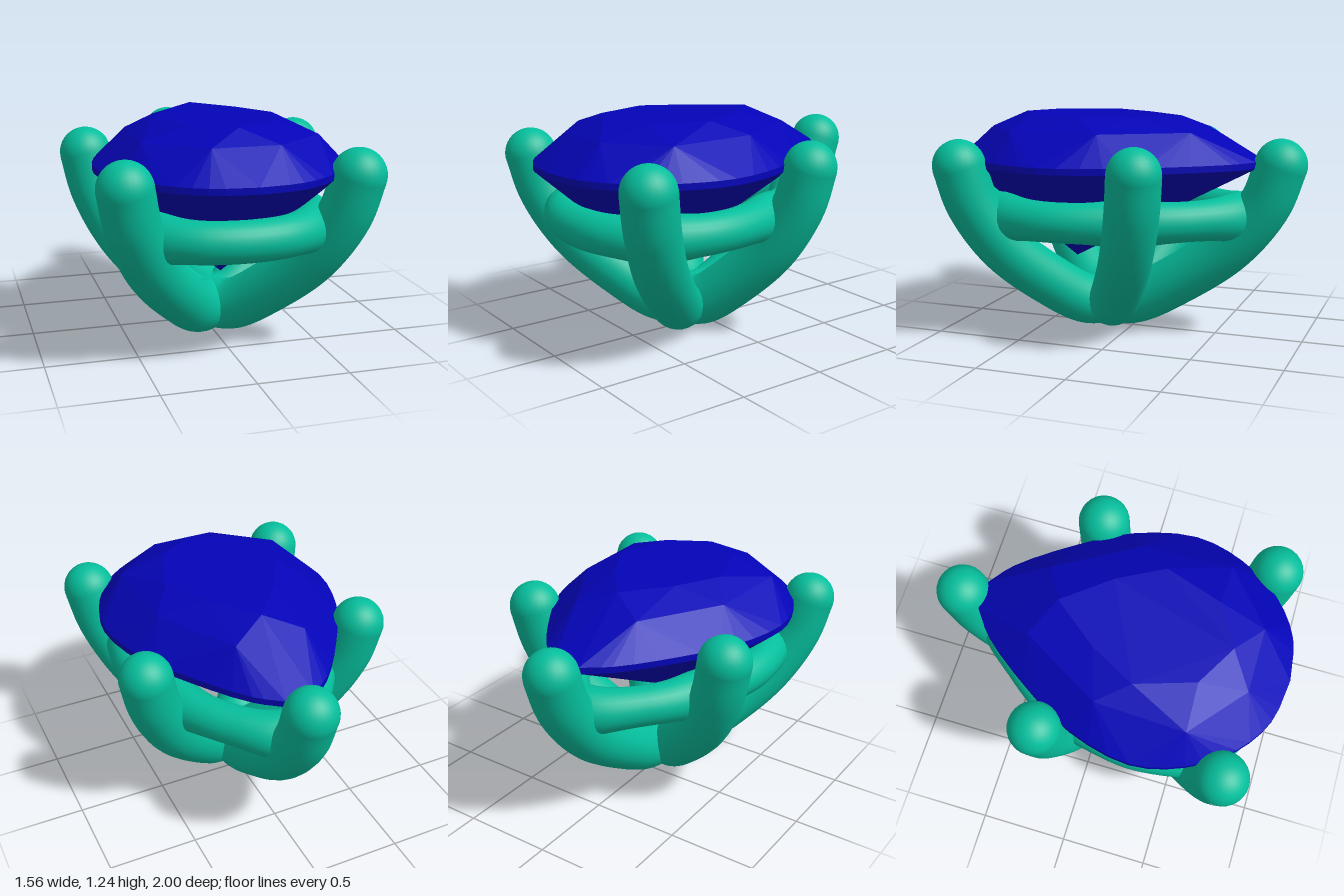
import * as THREE from 'three';
import { ConvexGeometry } from 'three/addons/geometries/ConvexGeometry.js';

const V = (x, y, z) => new THREE.Vector3(x, y, z);
const metal = new THREE.MeshStandardMaterial({ color: 0x05be9c });
const stone = new THREE.MeshStandardMaterial({ color: 0x0404b8, flatShading: true });

const PRONG_R = 0.145, RAIL_R = 0.11, RAIL_Y = 0.69;
const HUB = V(0, 0.147, 0.15);
// prong tips in plan: back, sides, front
const TIPS = [[0, -0.855], [0.635, -0.232], [-0.635, -0.232], [0.61, 0.78], [-0.61, 0.78]];
// shared prong profile: fraction of the way out from the hub, height
const PROFILE = [[0, 0.147], [0.17, 0.165], [0.4, 0.285], [0.72, 0.515], [0.92, 0.77], [1, 0.985]];

function add(group, name, geometry, material) {
  const mesh = new THREE.Mesh(geometry, material);
  mesh.name = name;
  group.add(mesh);
  return mesh;
}

function prong([x, z]) {
  const group = new THREE.Group();
  group.name = 'prong';
  const curve = new THREE.CatmullRomCurve3(
    PROFILE.map(([f, y]) => V(x * f, y, THREE.MathUtils.lerp(HUB.z, z, f))));
  add(group, 'prongShaft', new THREE.TubeGeometry(curve, 40, PRONG_R, 28), metal);
  add(group, 'prongTip', new THREE.SphereGeometry(PRONG_R, 28, 20), metal).position.set(x, 0.985, z);
  return group;
}

// closed pear-shaped rail on the inner side of the prongs, swelling softly at each joint
function railGeometry() {
  const half = [[0.24, 0.775], [0.43, 0.62], [0.52, 0.3], [0.43, -0.1], [0.25, -0.41]];
  const loop = [[0, 0.82], ...half, [0, -0.62], ...half.map(([x, z]) => [-x, z]).reverse()];
  const curve = new THREE.CatmullRomCurve3(loop.map(([x, z]) => V(x, RAIL_Y, z)), true);
  const segments = 160, sides = 24;
  const geometry = new THREE.TubeGeometry(curve, segments, RAIL_R, sides, true);
  const joints = TIPS.map(([x, z]) => V(x * 0.78, RAIL_Y, THREE.MathUtils.lerp(HUB.z, z, 0.78)));
  const pos = geometry.attributes.position, p = V(0, 0, 0);
  for (let i = 0; i <= segments; i++) {
    const centre = curve.getPointAt((i % segments) / segments);
    const d = Math.min(...joints.map(j => j.distanceTo(centre)));
    const swell = 1 + 0.25 * Math.exp(-((d / 0.16) ** 2));
    for (let j = 0; j <= sides; j++) {
      const k = i * (sides + 1) + j;
      p.fromBufferAttribute(pos, k).sub(centre).multiplyScalar(swell).add(centre);
      pos.setXYZ(k, p.x, p.y, p.z);
    }
  }
  return geometry;
}

// faceted pear-cut stone: hull of table, crown, girdle and culet corners
function gemGeometry() {
  const mirrored = (list, y) => list.flatMap(([x, z]) => x ? [V(x, y, z), V(-x, y, z)] : [V(0, y, z)]);
  const outline = new THREE.CatmullRomCurve3(
    [[0, 0.995], [0.24, 0.955], [0.45, 0.815], [0.61, 0.58], [0.68, 0.3], [0.6, -0.05],
      [0.435, -0.34], [0.215, -0.63], [0.08, -0.735]].map(([x, z]) => V(x, 0, z)));
  const girdle = outline.getPoints(24).map(p => [p.x, p.z]);
  return new ConvexGeometry([
    ...mirrored([[0, -0.29], [0.2, -0.04], [0.335, 0.21], [0.23, 0.53], [0, 0.66]], 1.24),
    ...mirrored([[0.2, -0.4], [0.46, 0.04], [0.48, 0.54], [0.18, 0.79]], 1.165),
    ...mirrored(girdle, 1.005),
    ...mirrored(girdle, 0.97),
    V(0, 0.395, 0.35),
  ]);
}

export function createModel() {
  const model = new THREE.Group();
  model.name = 'gemSetting';

  // basket: five prongs rising from a hub, tied by a rail
  const basket = new THREE.Group();
  basket.name = 'basket';
  TIPS.forEach(tip => basket.add(prong(tip)));
  add(basket, 'hub', new THREE.SphereGeometry(0.147, 28, 20), metal).position.copy(HUB);
  add(basket, 'rail', railGeometry(), metal);
  model.add(basket);

  add(model, 'gem', gemGeometry(), stone);
  return model;
}
